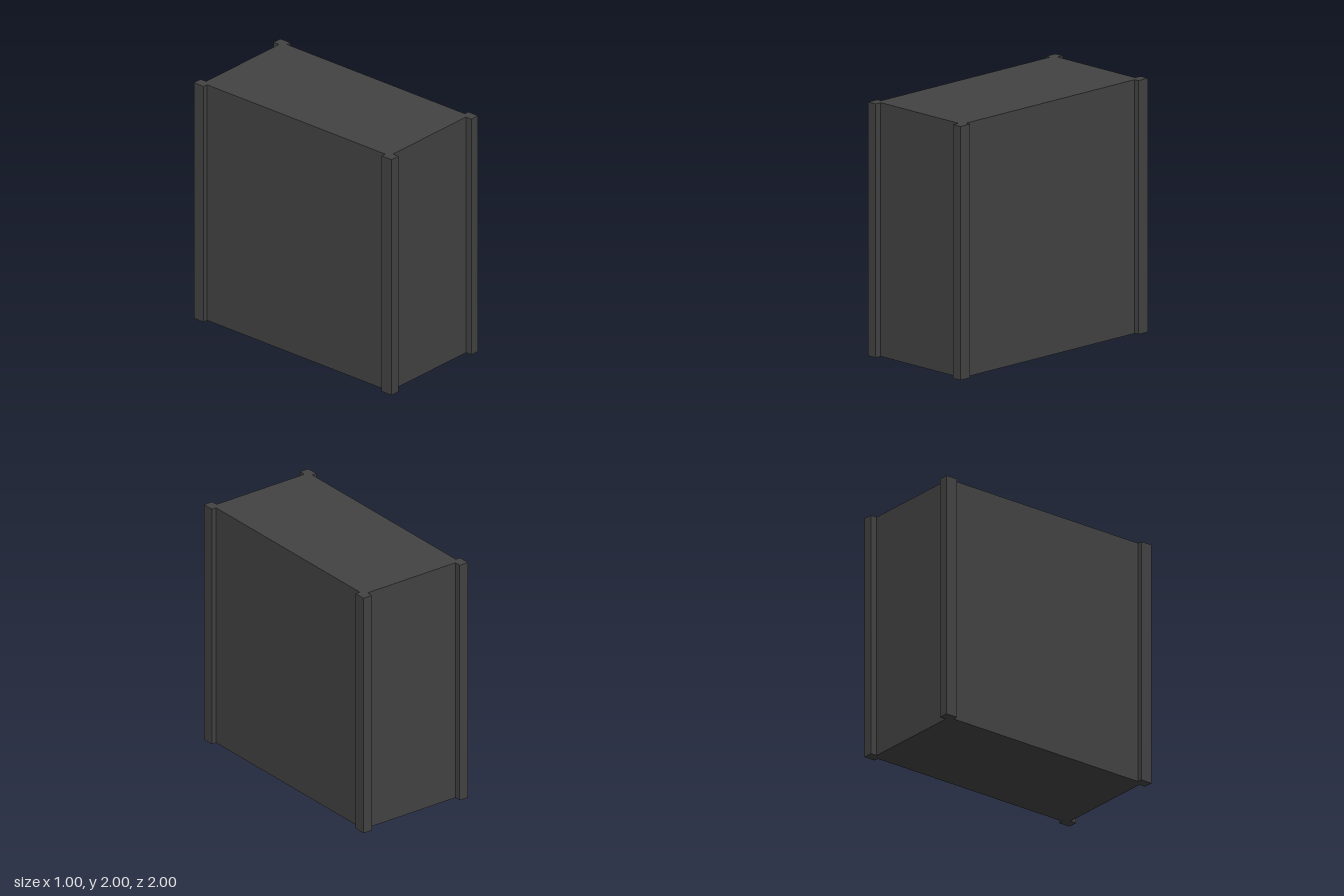
import * as THREE from 'three';

const HEIGHT = 2;

export function createModel() {
  const model = new THREE.Group();
  model.name = 'pillar';
  const charcoal = new THREE.MeshStandardMaterial({ color: 0x424242 });
  charcoal.name = 'charcoal';

  const addBlock = (name, width, depth, x, z) => {
    const mesh = new THREE.Mesh(new THREE.BoxGeometry(width, HEIGHT, depth), charcoal);
    mesh.name = name;
    mesh.position.set(x, HEIGHT / 2, z);
    model.add(mesh);
  };

  // Solid core, recessed behind the corner posts
  addBlock('body', 0.92, 1.89, 0, 0);

  // Four full-height corner posts
  for (const [side, sx] of [['Left', 1], ['Right', -1]]) {
    for (const [end, sz] of [['front', 1], ['back', -1]]) {
      addBlock(`${end}${side}Post`, 0.08, 0.1, sx * 0.46, sz * 0.95);
    }
  }
  return model;
}
